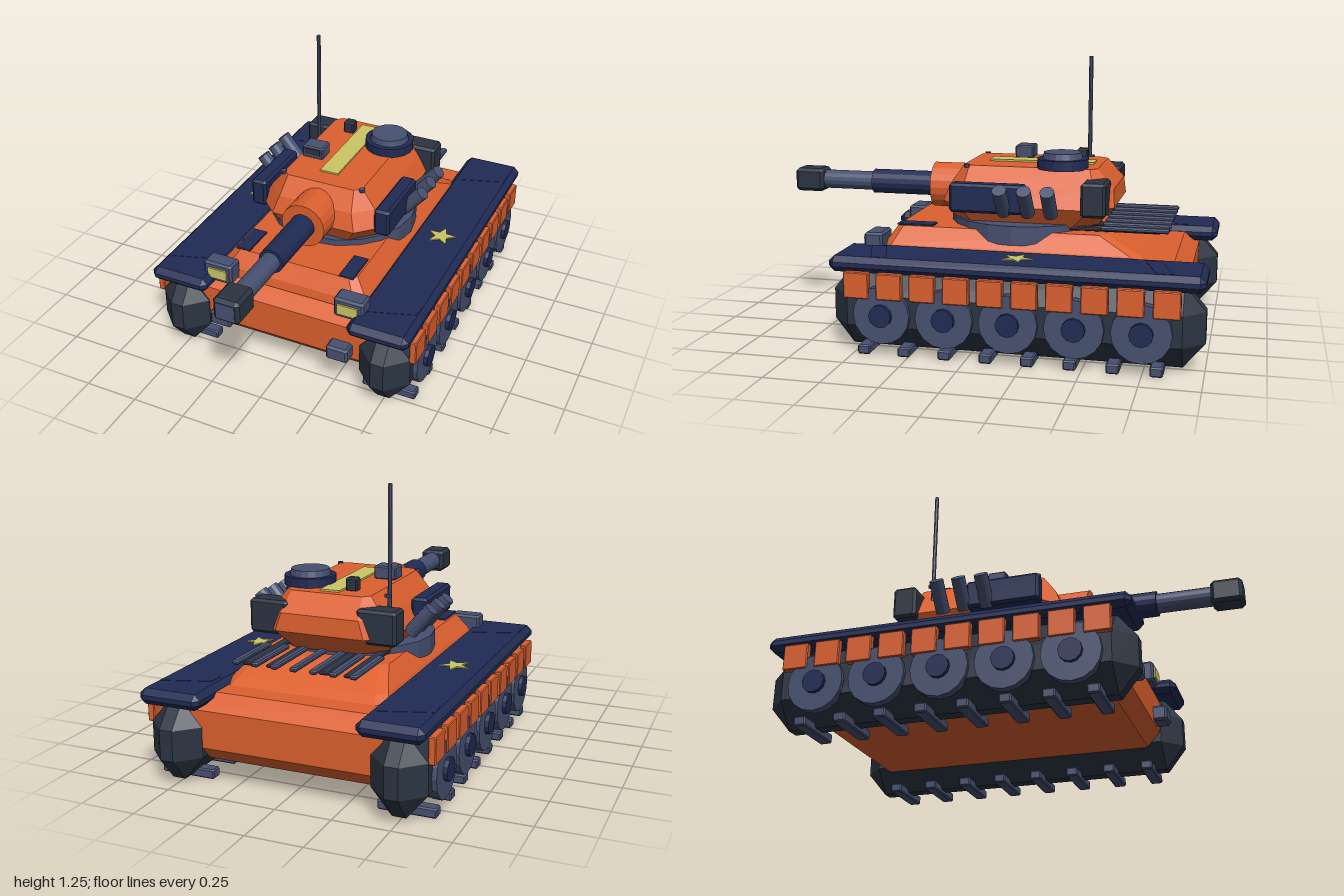
import * as THREE from 'three';

const mat = (name, color) => new THREE.MeshStandardMaterial({ name, color });

// Stacked eight-sided rings [y, halfWidth, zBack, zFront, cornerCut], flat faceted
function loft(rings) {
  const loops = rings.map(([y, h, z0, z1, c]) => [
    [h, y, z1 - c], [h, y, z0 + c], [h - c, y, z0], [c - h, y, z0],
    [-h, y, z0 + c], [-h, y, z1 - c], [c - h, y, z1], [h - c, y, z1]]);
  const pos = [];
  const tri = (a, b, c) => pos.push(...a, ...b, ...c);
  for (let k = 0; k + 1 < loops.length; k++) {
    const a = loops[k], b = loops[k + 1];
    for (let i = 0; i < 8; i++) {
      const j = (i + 1) % 8;
      tri(a[i], a[j], b[j]);
      tri(a[i], b[j], b[i]);
    }
  }
  const lo = loops[0], hi = loops[loops.length - 1];
  for (let i = 1; i < 7; i++) {
    tri(lo[0], lo[i + 1], lo[i]);
    tri(hi[0], hi[i], hi[i + 1]);
  }
  const g = new THREE.BufferGeometry();
  g.setAttribute('position', new THREE.Float32BufferAttribute(pos, 3));
  g.computeVertexNormals();
  return g;
}

// Box with all edges cut by b, centred on the origin
function bevelBox(w, h, d, b = 0.006) {
  const x = w / 2, y = h / 2, z = d / 2, e = 0.0005;
  return loft([[-y, x - b, b - z, z - b, e], [b - y, x, -z, z, b],
    [y - b, x, -z, z, b], [y, x - b, b - z, z - b, e]]);
}

// Faceted cylinder along the given axis
function rod(axis, r, len, sides = 16, r2 = r) {
  let g = new THREE.CylinderGeometry(r, r2, len, sides);
  if (axis === 'x') g.rotateZ(Math.PI / 2);
  if (axis === 'z') g.rotateX(Math.PI / 2);
  g = g.toNonIndexed();
  g.computeVertexNormals();
  return g;
}

// Thin flat plate lying level, from [x, z] outline points
function plate(points, thick) {
  const s = new THREE.Shape(points.map(([x, z]) => new THREE.Vector2(x, -z)));
  return new THREE.ExtrudeGeometry(s, { depth: thick, bevelEnabled: false }).rotateX(-Math.PI / 2);
}

export function createModel() {
  const orange = mat('orange armour', 0xdc602e);
  const navy = mat('navy trim', 0x202b54);
  const slate = mat('slate metal', 0x465070);
  const dark = mat('dark metal', 0x2b3442);
  const yellow = mat('yellow marking', 0xccc565);
  const model = new THREE.Group();
  model.name = 'tank';
  const add = (name, geo, m, x = 0, y = 0, z = 0) => {
    const mesh = new THREE.Mesh(geo, m);
    mesh.name = name;
    mesh.position.set(x, y, z);
    model.add(mesh);
    return mesh;
  };

  // Hull
  add('lowerHull', loft([[0.115, 0.39, -0.85, 0.46, 0.01], [0.18, 0.4, -0.91, 0.52, 0.01],
    [0.345, 0.445, -0.91, 0.52, 0.01], [0.41, 0.38, -0.845, 0.43, 0.01]]), orange);
  add('upperHull', loft([[0.4, 0.375, -0.76, 0.46, 0.04], [0.44, 0.355, -0.7, 0.45, 0.04],
    [0.515, 0.3, -0.55, 0.4, 0.03]]), orange);
  add('turretRing', rod('y', 0.35, 0.085, 20), slate, 0, 0.5025, -0.14);

  // Engine deck grille
  for (let i = -3; i <= 3; i++)
    add('grilleBar', bevelBox(0.033, 0.02, 0.3), slate, i * 0.0885, 0.54, -0.67);
  for (const x of [-0.23, -0.12, 0.12, 0.23])
    add('grilleSlat', bevelBox(0.045, 0.014, 0.4, 0.004), dark, x, 0.528, -0.58);

  // Turret body
  add('turret', loft([[0.53, 0.25, -0.49, 0.16, 0.1], [0.62, 0.305, -0.572, 0.21, 0.1],
    [0.7, 0.26, -0.565, 0.18, 0.08], [0.785, 0.195, -0.49, 0.12, 0.03]]), orange);
  add('roofStripe', new THREE.BoxGeometry(0.09, 0.009, 0.485), yellow, 0, 0.7885, -0.2125);

  // Gun
  add('mantlet', rod('z', 0.105, 0.305, 20), orange, 0, 0.658, 0.1525);
  add('barrelSleeve', rod('z', 0.058, 0.32), navy, 0, 0.66, 0.45);
  add('barrel', rod('z', 0.045, 0.3), slate, 0, 0.66, 0.73);
  add('muzzleBrake', bevelBox(0.12, 0.11, 0.142, 0.015), dark, 0, 0.66, 0.928);
  add('muzzleFace', new THREE.BoxGeometry(0.085, 0.075, 0.006), slate, 0, 0.66, 0.997);

  // Roof fittings
  add('cupolaBase', rod('y', 0.115, 0.045, 18), navy, 0.15, 0.803, -0.33);
  add('cupolaHatch', rod('y', 0.085, 0.03, 18, 0.092), slate, 0.15, 0.838, -0.33);
  add('periscope', bevelBox(0.105, 0.06, 0.085), slate, -0.13, 0.813, -0.105);
  add('periscopeGlass', new THREE.BoxGeometry(0.08, 0.03, 0.006), dark, -0.13, 0.818, -0.062);
  add('roofSight', bevelBox(0.052, 0.06, 0.048), dark, -0.08, 0.811, -0.385);
  add('antenna', rod('y', 0.01, 0.555, 8), slate, -0.252, 0.9775, -0.39);
  add('antennaFoot', rod('y', 0.016, 0.012, 8), slate, -0.248, 0.778, -0.4);

  const star = Array.from({ length: 10 }, (_, i) => {
    const r = i % 2 ? 0.03 : 0.072, a = i * Math.PI / 5;
    return [r * Math.sin(a), -r * Math.cos(a)];
  });

  for (const s of [-1, 1]) {
    // Turret sides
    add('roofBolt', rod('y', 0.014, 0.014, 8), slate, s * 0.197, 0.783, 0.1);
    add('sideBox', bevelBox(0.075, 0.13, 0.34, 0.012), navy, s * 0.31, 0.66, -0.025);
    add('rearStowage', bevelBox(0.18, 0.15, 0.11, 0.012), dark, s * 0.25, 0.67, -0.495);
    for (const z of [-0.1, -0.207, -0.31]) {
      const tube = add('smokeTube', rod('y', 0.032, 0.15, 12), slate, s * 0.365, 0.658, z);
      tube.rotation.z = -s * 0.7;
    }

    // Front fittings
    add('headlight', bevelBox(0.142, 0.1, 0.085, 0.01), slate, s * 0.324, 0.444, 0.484);
    add('headlightLens', new THREE.BoxGeometry(0.095, 0.05, 0.009), yellow, s * 0.322, 0.443, 0.53);
    add('towBlock', bevelBox(0.105, 0.072, 0.08, 0.01), slate, s * 0.292, 0.227, 0.542);
    add('deckHatch', bevelBox(0.07, 0.008, 0.17, 0.002), navy, s * 0.257, 0.518, 0.318);

    // Track and its cleats
    add('track', loft([[0.027, 0.03, -0.91, 0.53, 0.001], [0.135, 0.12, -1, 0.615, 0.09],
      [0.27, 0.12, -1, 0.615, 0.09], [0.375, 0.03, -0.91, 0.53, 0.001]]), dark, s * 0.5);
    for (let i = 0; i < 8; i++)
      add('trackCleat', bevelBox(0.253, 0.042, 0.055), slate, s * 0.503, 0.029, 0.45 - i * 0.18);

    // Road wheels
    for (let i = 0; i < 5; i++) {
      const z = 0.365 - i * 0.278;
      add('wheel', rod('x', 0.126, 0.04, 16), slate, s * 0.62, 0.19, z);
      add('wheelHub', rod('x', 0.05, 0.04, 12), navy, s * 0.638, 0.19, z);
    }

    // Fender with markings
    add('fender', bevelBox(0.285, 0.07, 1.61, 0.025), navy, s * 0.487, 0.401, -0.195);
    add('star', plate(star, 0.006), yellow, s * 0.485, 0.435, -0.195);
    for (const z of [-0.8, 0.42])
      add('fenderPanel', plate([[-0.135, 0], [0.135, -0.07], [0.135, 0.0], [-0.135, 0.07]]
        .map(([x, v]) => [x, v]), 0.003), navy, s * 0.515 - s * 0.02, 0.4345, z).scale.x = 0.78;

    // Skirt plates
    for (let i = 0; i < 10; i++)
      add('skirtPlate', bevelBox(0.032, 0.115, 0.113, 0.004), orange, s * 0.63, 0.318, 0.475 - i * 0.147);
  }
  return model;
}
